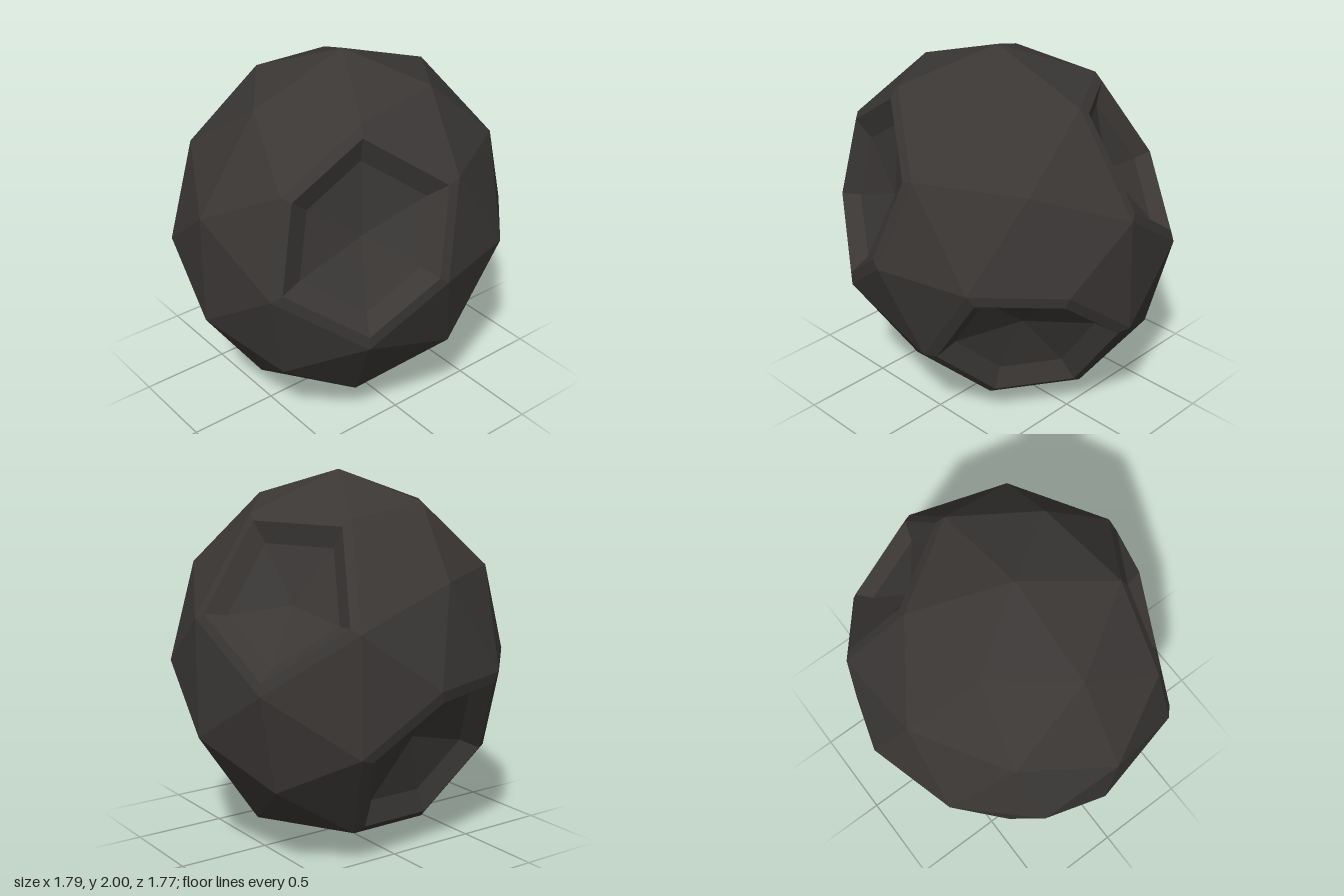
import * as THREE from 'three';

// Stretched, slightly tilted rock: columns are the images of the x, y and z axes
const stretch = new THREE.Matrix4().makeBasis(
  new THREE.Vector3(0.484, 0.02, 0.746),
  new THREE.Vector3(-0.01, 1, 0.03),
  new THREE.Vector3(-0.804, 0.025, 0.474),
);

// Sphere vertices that become craters (three hexagons and one pentagon)
const craterCentres = [
  [0.5, 0.309, 0.809],
  [0.809, -0.5, -0.309],
  [0, 0.526, -0.851],
  [-0.809, -0.5, -0.309],
].map((c) => new THREE.Vector3(...c).normalize());

// Rim and floor insets, and depths of the floor edge and of its middle
const RIM = 0.12, FLOOR = 0.32, EDGE_DEPTH = 0.055, MIDDLE_DEPTH = 0.13;

const quad = (a, b, c, d) => [a, b, c, a, c, d];

function addPart(group, name, points, material) {
  const geometry = new THREE.BufferGeometry().setFromPoints(points);
  geometry.computeVertexNormals();
  const mesh = new THREE.Mesh(geometry, material);
  mesh.name = name;
  group.add(mesh);
}

// fan: triangles [centre, p, q] around one vertex, in outward order
function addCrater(group, fan, index, material) {
  const middle = new THREE.Vector3();
  fan.forEach(([, p]) => middle.addScaledVector(p, 1 / fan.length));
  const outward = middle.clone().normalize();
  const base = middle.clone().addScaledVector(outward, -MIDDLE_DEPTH);
  const floorPoint = (p) => p.clone().lerp(middle, FLOOR).addScaledVector(outward, -EDGE_DEPTH);

  // The rim stays in the rock's facets; wall and bowl-shaped floor sink below it
  const rim = [], wall = [], floor = [];
  for (const [centre, p, q] of fan) {
    const [rimP, rimQ] = [p, q].map((v) => v.clone().lerp(centre, RIM));
    const [floorP, floorQ] = [p, q].map(floorPoint);
    rim.push(...quad(p, q, rimQ, rimP));
    wall.push(...quad(rimP, rimQ, floorQ, floorP));
    floor.push(floorP, floorQ, base);
  }
  const crater = new THREE.Group();
  crater.name = `crater${index + 1}`;
  addPart(crater, 'craterRim', rim, material);
  addPart(crater, 'craterWall', wall, material);
  addPart(crater, 'craterFloor', floor, material);
  group.add(crater);
}

export function createModel() {
  const group = new THREE.Group();
  group.name = 'asteroid';
  const material = new THREE.MeshStandardMaterial({ color: 0x3a3735, flatShading: true });

  // Split the sphere's triangles into plain surface and crater fans
  const position = new THREE.IcosahedronGeometry(1, 1).getAttribute('position');
  const surface = [];
  const fans = craterCentres.map(() => []);
  for (let i = 0; i < position.count; i += 3) {
    const tri = [0, 1, 2].map((k) => new THREE.Vector3().fromBufferAttribute(position, i + k));
    const placed = tri.map((p) => p.clone().applyMatrix4(stretch));
    let used = false;
    craterCentres.forEach((centre, n) => {
      const k = tri.findIndex((p) => p.dot(centre) > 0.995);
      if (k < 0) return;
      fans[n].push([0, 1, 2].map((j) => placed[(k + j) % 3]));
      used = true;
    });
    if (!used) surface.push(...placed);
  }

  // Faceted rock surface and craters
  const body = new THREE.Group();
  body.name = 'rock';
  addPart(body, 'rockSurface', surface, material);
  fans.forEach((fan, n) => addCrater(body, fan, n, material));
  body.position.y = 1;
  group.add(body);
  return group;
}
